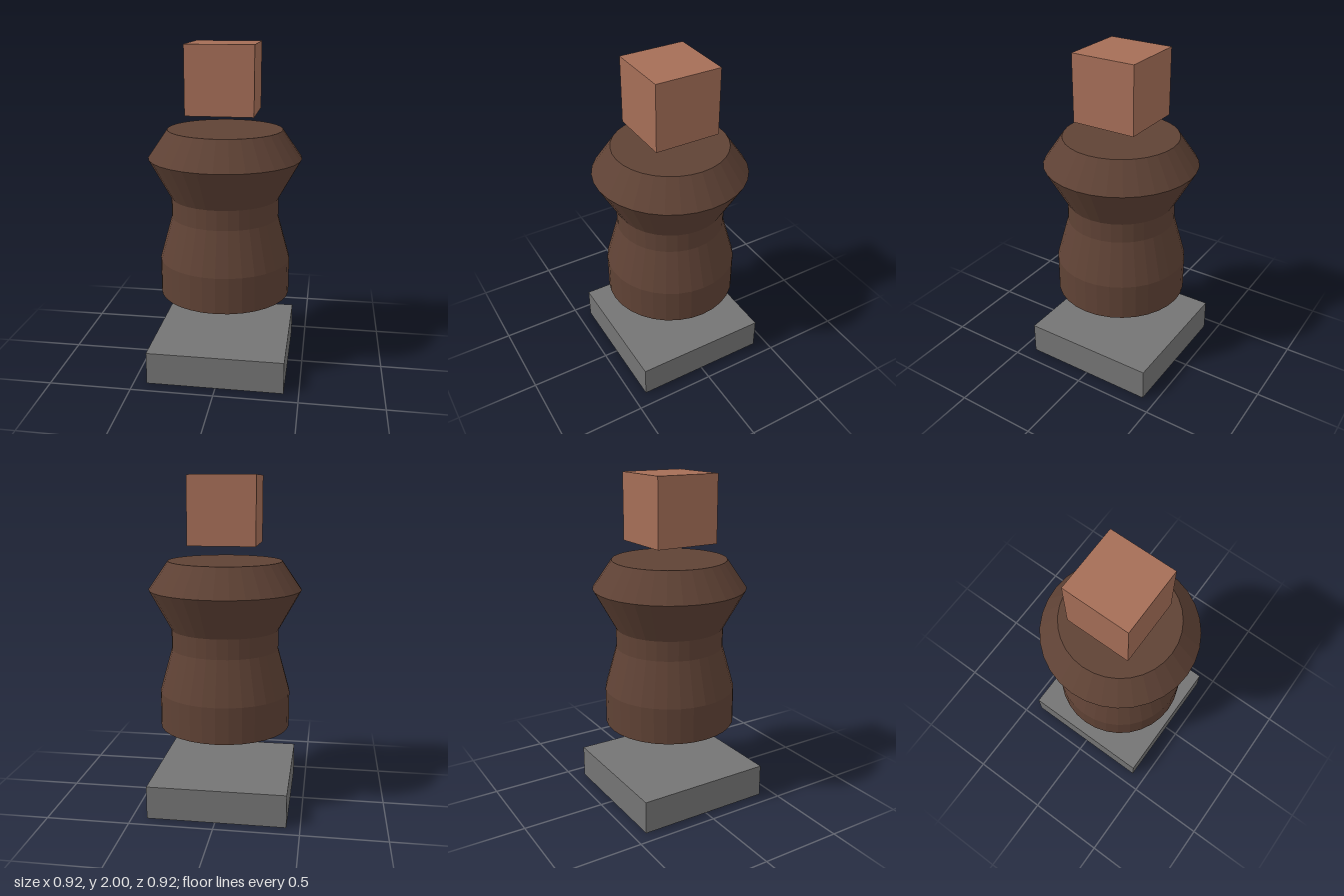
import * as THREE from 'three';

const material = (name, color, extra = {}) => {
  const m = new THREE.MeshStandardMaterial({ color, ...extra });
  m.name = name;
  return m;
};

export function createModel() {
  const model = new THREE.Group();
  const grey = material('stone grey', 0x747474);
  const brown = material('dark brown', 0x5f4235, { flatShading: true });
  const tan = material('clay tan', 0xa56e57);

  const add = (name, geometry, mat, x, y, z) => {
    const mesh = new THREE.Mesh(geometry, mat);
    mesh.name = name;
    mesh.position.set(x, y, z);
    model.add(mesh);
  };

  // Square slab at the bottom
  add('base', new THREE.BoxGeometry(0.83, 0.2, 0.835), grey, -0.005, 0.1, -0.002);

  // Turned body floating above the slab, closed at both ends
  const profile = [
    [0, 0.48], [0.4, 0.48], [0.4, 0.7], [0.327, 0.965],
    [0.327, 1.085], [0.462, 1.33], [0.345, 1.5], [0, 1.5],
  ].map(([r, y]) => new THREE.Vector2(r, y));
  add('body', new THREE.LatheGeometry(profile, 32), brown, 0, 0, 0);

  // Cube floating above the body
  add('head', new THREE.BoxGeometry(0.398, 0.4, 0.398), tan, -0.006, 1.8, -0.002);

  return model;
}
